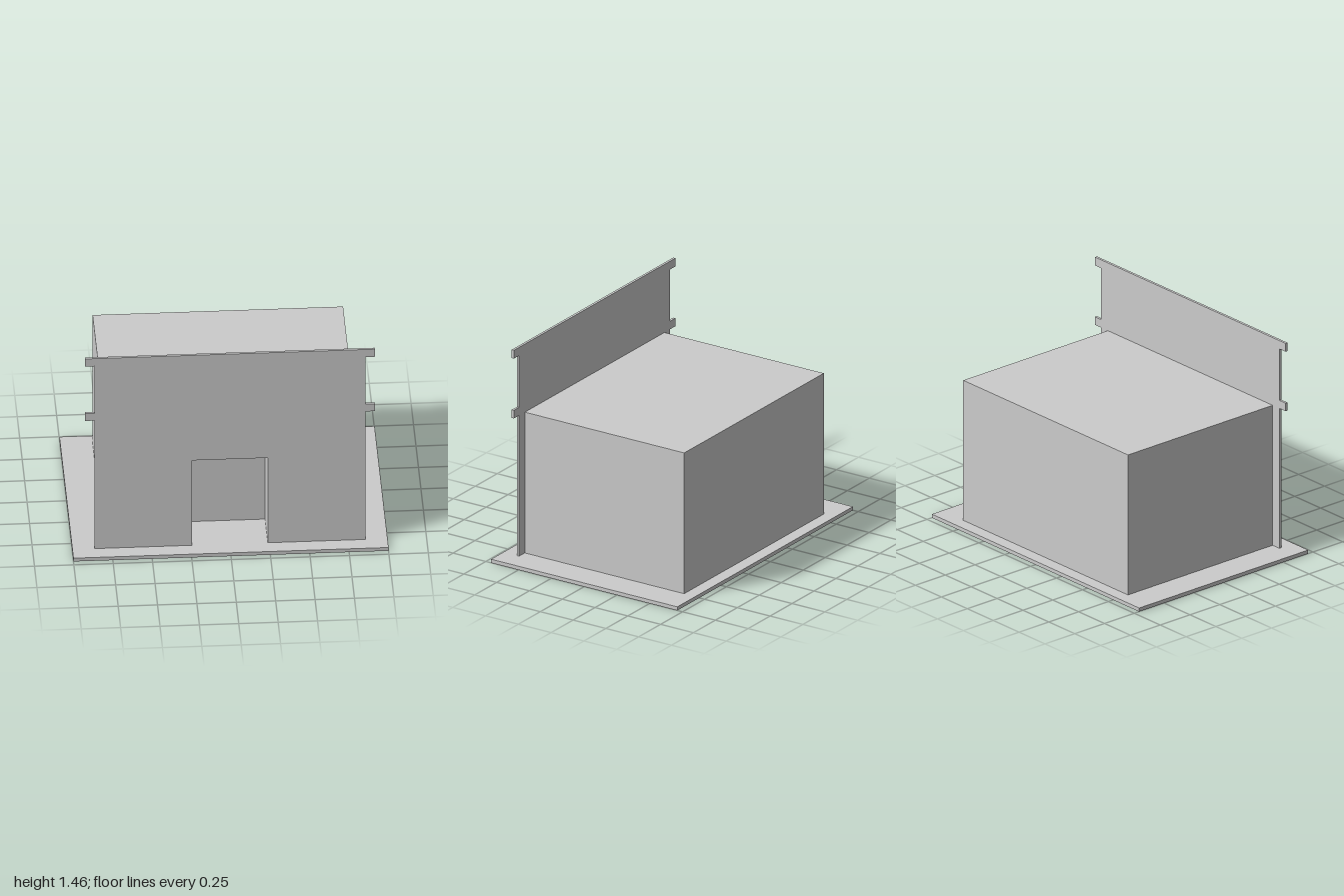
import * as THREE from 'three';

const material = new THREE.MeshStandardMaterial({ color: 0xcccccc, flatShading: true });

const BASE = 0.025;   // top of the ground slab
const ROOF = 0.99;    // roof height of the hall
const DOOR_W = 0.24;  // half width of the doorway
const DOOR_TOP = 0.665;
const WALL_BACK = 0.59, WALL_FRONT = 0.607;
const NICHE = 0.33;   // z of the wall at the back of the doorway
const REAR = -0.625;

function add(group, name, geometry) {
  const mesh = new THREE.Mesh(geometry, material);
  mesh.name = name;
  group.add(mesh);
}

// Box from its minimum and maximum corners
function box(x0, y0, z0, x1, y1, z1) {
  return new THREE.BoxGeometry(x1 - x0, y1 - y0, z1 - z0)
    .translate((x0 + x1) / 2, (y0 + y1) / 2, (z0 + z1) / 2);
}

// Symmetric outline with a doorway cut into its foot, extruded from z0 to z1;
// rightSide lists the +x half from bottom to top
function doorwaySlab(rightSide, z0, z1) {
  const half = [[DOOR_W, DOOR_TOP], [DOOR_W, BASE], ...rightSide];
  const mirrored = half.map(([x, y]) => [-x, y]).reverse();
  const shape = new THREE.Shape([...half, ...mirrored].map(([x, y]) => new THREE.Vector2(x, y)));
  return new THREE.ExtrudeGeometry(shape, { depth: z1 - z0, bevelEnabled: false }).translate(0, 0, z0);
}

export function createModel() {
  const model = new THREE.Group();
  model.name = 'building';

  add(model, 'groundSlab', box(-1, 0, -0.71, 1, BASE, 0.71));

  // Hall: solid rear part, and a front part holding the recessed doorway
  add(model, 'hallRear', box(-0.795, BASE, REAR, 0.795, ROOF, NICHE));
  add(model, 'hallFront', doorwaySlab([[0.795, BASE], [0.795, ROOF]], NICHE, WALL_BACK));

  // Tall thin facade with two pairs of projecting band ends
  const facade = [
    [0.86, BASE], [0.86, 0.99], [0.92, 0.99], [0.92, 1.045],
    [0.86, 1.045], [0.86, 1.4], [0.92, 1.4], [0.92, 1.457],
  ];
  add(model, 'facade', doorwaySlab(facade, WALL_BACK, WALL_FRONT));

  return model;
}
